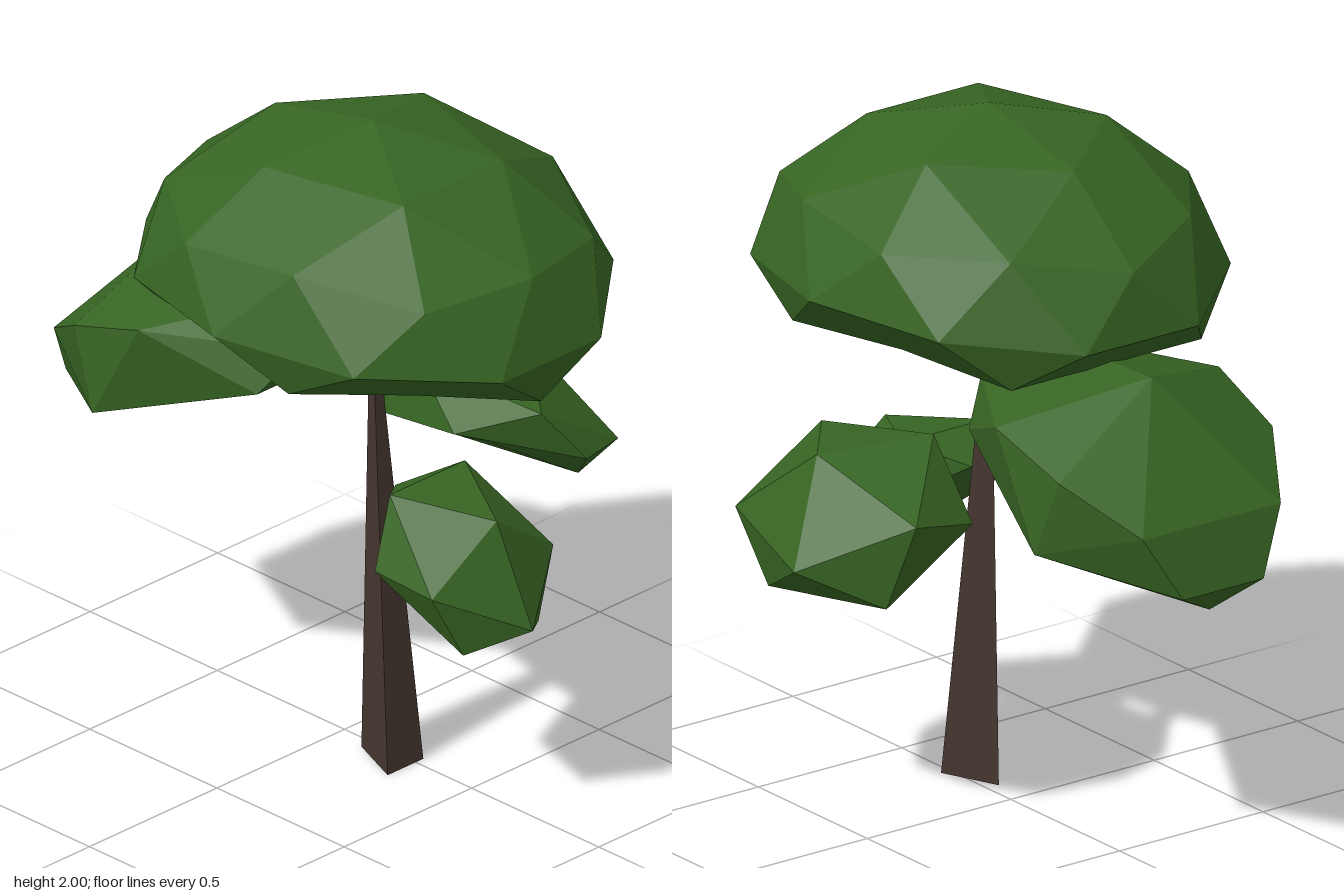
import * as THREE from 'three';
import { ConvexGeometry } from 'three/addons/geometries/ConvexGeometry.js';

const AXIS = -0.07; // x of the mirror plane shared by most foliage
const V = (x, y, z) => new THREE.Vector3(x, y, z);

// Icosphere with a vertex on top, domed above and cut flat below.
// bend droops the ends, twist skews the lower rim.
function clumpGeometry({ detail = 0, radius, height, depth, bend = 0, twist = 0 }) {
  const geo = new THREE.IcosahedronGeometry(1, detail);
  geo.rotateX(Math.atan((1 + Math.sqrt(5)) / 2));
  const p = geo.attributes.position;
  for (let i = 0; i < p.count; i++) {
    const y = p.getY(i);
    // corners below the lower rim move onto its straight edges
    const pull = y < -0.46 ? 0.85 : 1;
    const x = p.getX(i) * pull, z = p.getZ(i) * pull;
    let ny = y > 0 ? height * y ** 1.1 : depth * Math.max(y, -0.447) / 0.447;
    if (y < -0.4) ny += twist * z ** 3;
    const droop = (y < -0.4 ? 1.3 : 1) * bend * z * z;
    p.setXYZ(i, x * radius, ny - droop, z * radius * 1.167);
  }
  geo.computeVertexNormals();
  return geo;
}

export function createModel() {
  const group = new THREE.Group();
  const leaf = new THREE.MeshStandardMaterial({ color: 0x376523 });
  leaf.name = 'leaf green';
  const bark = new THREE.MeshStandardMaterial({ color: 0x453630 });
  bark.name = 'bark brown';
  leaf.flatShading = bark.flatShading = true;

  function add(name, geometry, material) {
    const mesh = new THREE.Mesh(geometry, material);
    mesh.name = name;
    group.add(mesh);
    return mesh;
  }

  // Three-sided trunk tapering to a point inside the crown
  add('trunk', new ConvexGeometry([
    V(-0.11, 0, 0.28), V(0.03, 0, 0.28), V(-0.04, 0, 0.107), V(-0.037, 1.5, 0.14),
  ]), bark);

  // Large domed crown
  add('crown', clumpGeometry({ detail: 1, radius: 0.63, height: 0.445, depth: 0.135, bend: 0.055 }), leaf)
    .position.set(AXIS, 1.555, 0.185);

  // Small clump leaning forward
  const front = add('frontClump', clumpGeometry({ radius: 0.28, height: 0.24, depth: 0.033 }), leaf);
  front.position.set(AXIS, 0.735, 0.52);
  front.rotation.set(0.669, Math.PI, 0);

  // Medium clump leaning out to the left
  const side = add('leftClump', clumpGeometry({ radius: 0.336, height: 0.262, depth: 0.038, twist: 0.1 }), leaf);
  side.position.set(0.392, 0.867, 0.192);
  side.rotation.z = -0.551;

  // Big clump leaning backward: half-width, y, z of mirrored corners
  const corners = [
    [0, 1.388, -0.032], [0, 1.41, -0.556], [0, 0.80, -0.82],
    [0.14, 1.272, 0.042], [0.24, 1.15, -0.032], [0.39, 1.288, -0.35],
    [0.372, 1.198, -0.62], [0.39, 0.964, -0.53], [0.24, 1.065, -0.832],
    [0.14, 0.88, -0.885],
  ];
  const points = [];
  for (const [w, y, z] of corners) {
    points.push(V(AXIS + w, y, z));
    if (w) points.push(V(AXIS - w, y, z));
  }
  add('backClump', new ConvexGeometry(points), leaf);

  return group;
}
